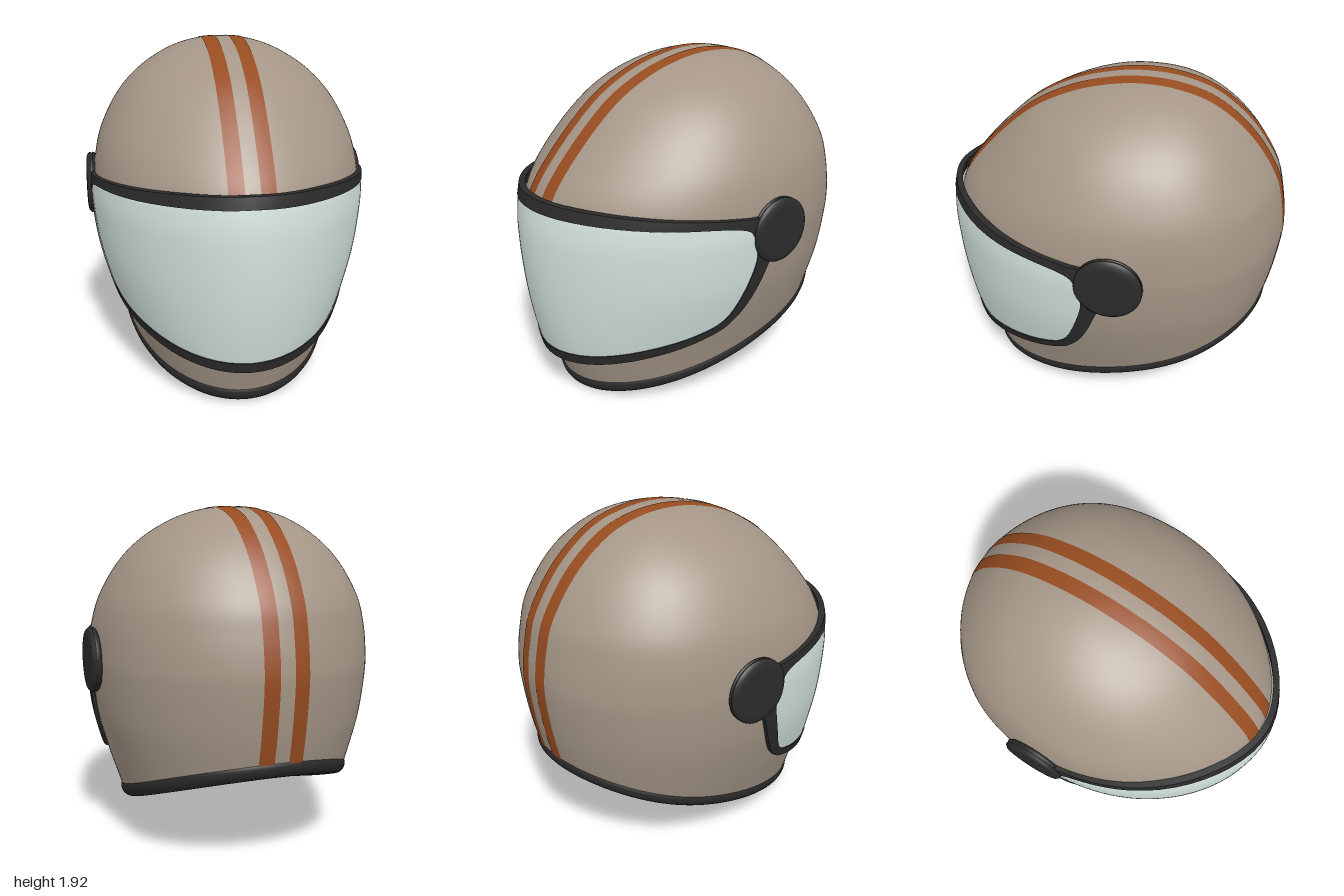
import * as THREE from 'three';
import { mergeGeometries, mergeVertices } from 'three/addons/utils/BufferGeometryUtils.js';

const mat = (name, color, side = THREE.DoubleSide) =>
  Object.assign(new THREE.MeshStandardMaterial({ color, side }), { name });

// Shell layers from chin to crown: y, half width, front z, back z, z of widest point
const LAYERS = [
  [-0.02, 0.53, 0.755, -0.80, -0.06], [0.10, 0.57, 0.79, -0.83, -0.06],
  [0.30, 0.63, 0.85, -0.87, -0.06], [0.50, 0.695, 0.89, -0.91, -0.06],
  [0.75, 0.76, 0.925, -0.965, -0.06], [1.00, 0.79, 0.955, -0.997, -0.06],
  [1.13, 0.79, 0.95, -0.995, -0.06], [1.27, 0.775, 0.90, -0.972, -0.07],
  [1.42, 0.733, 0.79, -0.93, -0.09], [1.60, 0.635, 0.62, -0.82, -0.11],
  [1.74, 0.505, 0.45, -0.69, -0.13], [1.85, 0.333, 0.23, -0.53, -0.15],
  [1.908, 0.163, 0.01, -0.34, -0.16], [1.925, 0, -0.16, -0.16, -0.16],
];
const S_MAX = LAYERS.length - 1;
const { smoothstep, lerp, degToRad } = THREE.MathUtils;

// Root of an increasing function
function solve(f, lo, hi) {
  for (let i = 0; i < 32; i++) {
    const m = (lo + hi) / 2;
    if (f(m) < 0) lo = m; else hi = m;
  }
  return (lo + hi) / 2;
}

// Smoothly interpolated layer (uniform Catmull-Rom)
function layer(s) {
  const i = Math.min(Math.floor(s), S_MAX - 1), t = s - i;
  const at = j => LAYERS[Math.max(0, Math.min(S_MAX, j))];
  return LAYERS[0].map((_, c) => {
    const [p, q, r, w] = [at(i - 1)[c], at(i)[c], at(i + 1)[c], at(i + 2)[c]];
    return q + 0.5 * t * (r - p + t * (2 * p - 5 * q + 4 * r - w + t * (3 * (q - r) + w - p)));
  });
}
const sAt = y => solve(s => layer(s)[0] - y, 0, S_MAX);

// Egg-shaped horizontal section; b = 0 faces the front, positive towards +x
function section(b, y, w, zf, zb, zc) {
  const c = Math.cos(b);
  const taper = c > 0
    ? 1 - 0.15 * smoothstep(y, 0.1, 0.9) * c ** 4
    : 1 + 0.14 * c * c * (1 - c * c);
  return new THREE.Vector3(w * Math.sin(b) * taper, y, zc + c * (c > 0 ? zf - zc : zc - zb));
}
const shellPoint = (b, s) => section(b, ...layer(s));

function liningPoint(b, s) {
  const p = shellPoint(b, s);
  return p.set(p.x * 0.925, p.y > 0.9 ? 0.9 + (p.y - 0.9) * 0.925 : p.y, -0.06 + (p.z + 0.06) * 0.925);
}

// Visor surface stands just proud of the shell
function visorPoint(b, y, off = 0) {
  const [, w, , zb, zc] = layer(sAt(y));
  const zf = 0.997 - (y > 1 ? 0.5 : 0.17) * (y - 1) ** 2;
  const p = section(b, y, w + 0.018, zf, zb, zc);
  p.x += off * Math.sin(b);
  p.z += off * Math.cos(b);
  return p;
}

// Grid surface from a function of u and v in 0..1
function grid(fn, nu, nv) {
  const pos = [], idx = [];
  for (let j = 0; j <= nv; j++)
    for (let i = 0; i <= nu; i++) pos.push(...fn(i / nu, j / nv).toArray());
  for (let j = 0; j < nv; j++)
    for (let i = 0; i < nu; i++) {
      const a = j * (nu + 1) + i, d = a + nu + 1;
      idx.push(a, a + 1, d + 1, a, d + 1, d);
    }
  const g = new THREE.BufferGeometry();
  g.setAttribute('position', new THREE.Float32BufferAttribute(pos, 3));
  g.setIndex(idx);
  return g;
}
function smooth(...geos) {
  const g = mergeVertices(mergeGeometries(geos), 1e-5);
  g.computeVertexNormals();
  return g;
}

export function createModel() {
  const model = new THREE.Group();
  model.name = 'helmet';
  const paint = mat('shell taupe', 0xa59687);
  const orange = mat('stripe orange', 0x974c20);
  const dark = mat('trim black', 0x2b2b2b);
  const glass = mat('visor pale glass', 0xd4e3e1);
  const add = (name, geo, m) => {
    const mesh = new THREE.Mesh(geo, m);
    mesh.name = name;
    model.add(mesh);
    return mesh;
  };

  // Column limits: slanted bottom edge and eye opening
  const COLS = 144;
  const columns = Array.from({ length: COLS + 1 }, (_, i) => {
    const b = (i / COLS * 2 - 1) * Math.PI;
    const bottom = solve(s => {
      const p = shellPoint(b, s);
      return p.y - (0.253 - 0.295 * p.z + 0.06 * p.z * p.z);
    }, 0, 8);
    const r = Math.min(1, Math.abs(b) / degToRad(75));
    const q = Math.sqrt(1 - r ** 3);
    return { b, bottom, low: sAt(0.93 - 0.49 * q), high: sAt(0.93 + 0.27 * q) };
  });
  const col = u => columns[Math.round(u * COLS)];

  // Shell and lining, each a band below and a band above the opening
  const bands = point => smooth(
    grid((u, v) => { const c = col(u); return point(c.b, lerp(c.bottom, c.low, v)); }, COLS, 20),
    grid((u, v) => { const c = col(u); return point(c.b, lerp(c.high, S_MAX, v)); }, COLS, 40));
  add('shell', bands(shellPoint), paint);
  add('lining', bands(liningPoint), dark);

  // Edge between shell and lining around the opening
  const edge = key => grid((u, v) => {
    const c = col(u);
    return shellPoint(c.b, c[key]).lerp(liningPoint(c.b, c[key]), v);
  }, COLS, 1);
  add('openingEdge', smooth(edge('low'), edge('high')), dark);

  // Rounded rim along the bottom edge, leaning inward at its foot
  add('bottomRim', smooth(grid((u, v) => {
    const c = col(u), a = -v * Math.PI * 2;
    const p = shellPoint(c.b, c.bottom), r = -0.035 + 0.047 * Math.cos(a) + 0.012 * Math.sin(a);
    return p.add(new THREE.Vector3(r * Math.sin(c.b), 0.055 * Math.sin(a), r * Math.cos(c.b)));
  }, COLS, 20)), dark);

  // Two racing stripes at constant x, from the brow over the crown to the rear rim
  const center = new THREE.Vector3(0, 1, -0.1);
  const ends = [sAt(1.21), sAt(0.6)];
  function stripePoint(x, u) {
    const top = solve(s => x - layer(s)[1], 7, S_MAX);
    const s = lerp(top, ends[u < 0 ? 0 : 1], u * u);
    const b = u < 0
      ? solve(a => shellPoint(a, s).x - x, 0, Math.PI / 2)
      : solve(a => x - shellPoint(a, s).x, Math.PI / 2, Math.PI);
    return shellPoint(b, s).sub(center).multiplyScalar(1.003).add(center);
  }
  for (const side of [1, -1]) {
    add(side > 0 ? 'leftStripe' : 'rightStripe', smooth(grid((u, v) => {
      const x = 0.081 + side * (u - 0.5) * 0.082;
      const p = stripePoint(x, 1 - 2 * v);
      p.x *= side;
      return p;
    }, 4, 80)), orange);
  }

  // Visor outlines: [degrees from the front, y], top centre round to bottom centre
  const inner = [[0, 1.2], [30, 1.187], [58, 1.165], [70, 1.15], [78, 1.125], [82, 1.08], [84, 0.96],
    [83, 0.84], [79, 0.645], [75.5, 0.555], [70, 0.505], [57, 0.445], [30, 0.362], [0, 0.332]];
  const outer = [[0, 1.265], [30, 1.25], [58, 1.215], [70, 1.195], [80, 1.175], [88, 1.15], [90.5, 1.02],
    [89, 0.9], [84, 0.67], [79, 0.54], [73, 0.47], [57, 0.385], [30, 0.302], [0, 0.27]];
  const outline = half => new THREE.SplineCurve([
    ...half, ...half.slice(0, -1).reverse().map(([d, y]) => [-d, y]),
  ].map(([d, y]) => new THREE.Vector2(degToRad(d), y)));
  const innerLine = outline(inner), outerLine = outline(outer);

  // Glass filled with rows across the inner outline
  add('visorGlass', smooth(grid((u, v) => {
    const p = innerLine.getPoint((1 - v) / 2);
    return visorPoint(p.x * (u * 2 - 1), p.y);
  }, 64, 72)), glass);

  // Frame with a rectangular section swept around the glass
  const corners = [[innerLine, 0.006], [outerLine, 0.006], [outerLine, -0.03], [innerLine, -0.03]];
  const frameFaces = corners.map(([lineA, offA], i) => {
    const [lineB, offB] = corners[(i + 1) % 4];
    const g = grid((u, v) => {
      const a = lineA.getPoint(u), b = lineB.getPoint(u);
      return visorPoint(lerp(a.x, b.x, v), lerp(a.y, b.y, v), lerp(offA, offB, v));
    }, 156, 2);
    g.computeVertexNormals();
    return g;
  });
  add('visorFrame', mergeGeometries(frameFaces), dark);

  // Round pivot caps on both sides, a base disc and a domed disc with a groove between
  const cap = new THREE.LatheGeometry([[0.165, 0], [0.183, 0.012], [0.184, 0.022], [0.174, 0.027],
    [0.184, 0.032], [0.183, 0.042], [0.168, 0.055], [0.14, 0.059], [0, 0.06]]
    .map(([x, y]) => new THREE.Vector2(x, y)), 40);
  for (const side of [1, -1]) {
    const mesh = add(side > 0 ? 'leftPivot' : 'rightPivot', cap, dark);
    mesh.rotation.z = -side * Math.PI / 2;
    mesh.position.set(side * 0.775, 1.065, -0.1);
  }
  return model;
}
